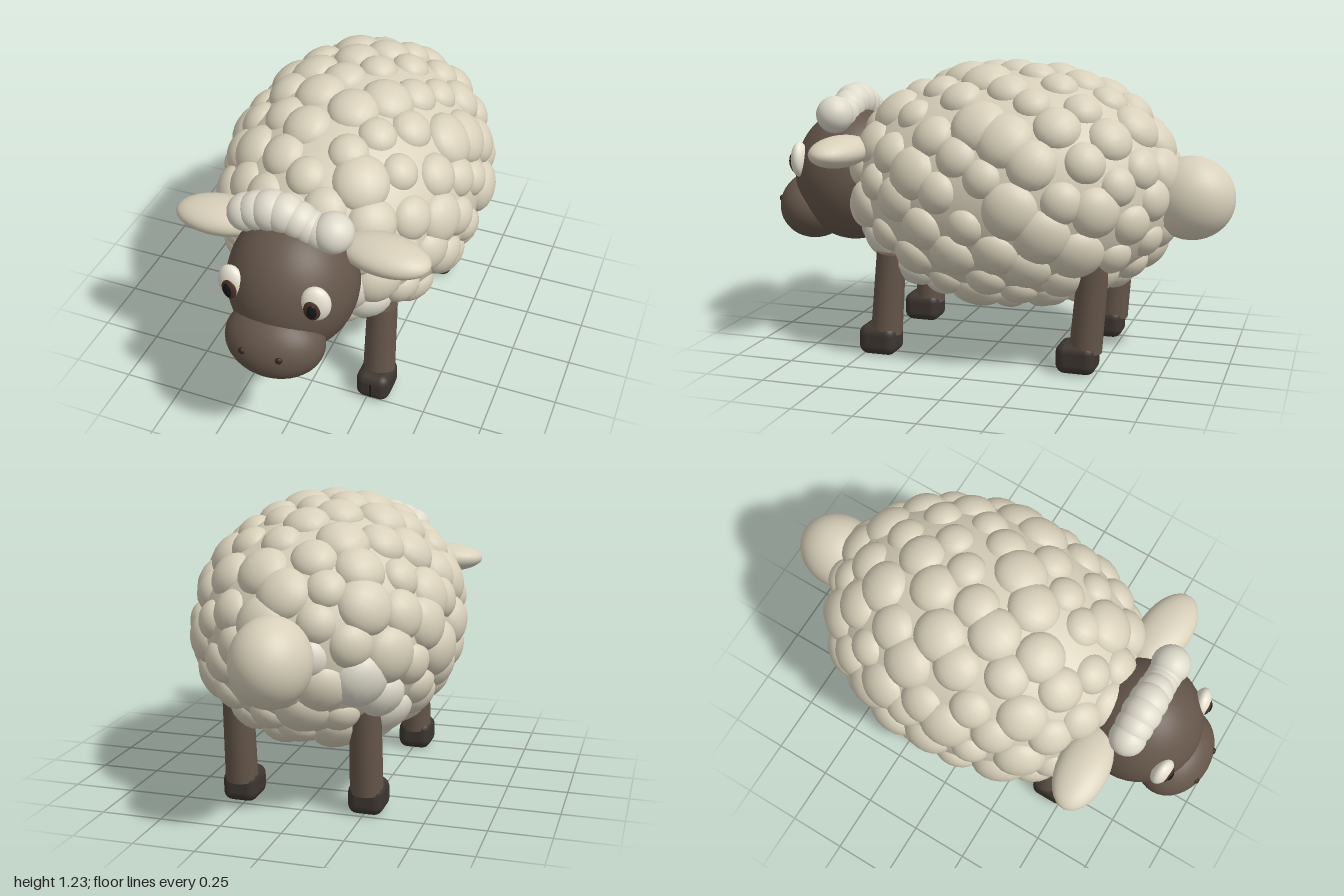
import * as THREE from 'three';
import { mergeGeometries } from 'three/addons/utils/BufferGeometryUtils.js';
import { RoundedBoxGeometry } from 'three/addons/geometries/RoundedBoxGeometry.js';

const paint = (color) => new THREE.MeshStandardMaterial({ color });
const mats = {
  wool: paint(0xd8d0ba),
  paleWool: paint(0xdedacb),
  skin: paint(0x65564a),
  hoof: paint(0x3d3630),
  white: paint(0xe8e4d4),
  iris: paint(0x4a3222),
  dark: paint(0x161616),
  nostril: paint(0x33291f),
};

function add(parent, name, geometry, material, pos = [0, 0, 0], rot = [0, 0, 0]) {
  const mesh = new THREE.Mesh(geometry, material);
  mesh.name = name;
  mesh.position.set(...pos);
  mesh.rotation.set(...rot);
  parent.add(mesh);
  return mesh;
}

function ellipsoid(rx, ry, rz, detail = 32) {
  return new THREE.SphereGeometry(1, detail, Math.round(detail * 0.7)).scale(rx, ry, rz);
}

// Slightly blunt-ended barrel: maps a unit direction onto the body surface.
const half = new THREE.Vector3(0.492, 0.458, 0.655);
function onBody(d) {
  const p = 2.15;
  const k = (Math.hypot(d.x, d.y) ** p + Math.abs(d.z) ** p) ** (-1 / p);
  return d.multiplyScalar(k).multiply(half);
}

function seeded(seed) {
  return () => (seed = (seed * 16807) % 2147483647) / 2147483647;
}

// Fleece: a smooth core covered with scattered, shallow tufts of mixed size.
function buildFleece() {
  const fleece = new THREE.Group();
  fleece.name = 'fleece';
  fleece.position.set(0, 0.708, -0.07);

  const core = new THREE.SphereGeometry(1, 40, 28);
  const pos = core.attributes.position;
  const v = new THREE.Vector3();
  for (let i = 0; i < pos.count; i++) {
    onBody(v.fromBufferAttribute(pos, i)).multiplyScalar(1.05);
    pos.setXYZ(i, v.x, v.y, v.z);
  }
  core.computeVertexNormals();
  add(fleece, 'bodyCore', core, mats.wool);

  const random = seeded(4711);
  const zAxis = new THREE.Vector3(0, 0, 1);
  const balls = [];
  const paleBalls = [];
  const count = 150;
  for (let i = 0; i < count; i++) {
    const z = 1 - (2 * (i + 0.5)) / count;
    const ring = Math.sqrt(1 - z * z);
    const a = i * Math.PI * (3 - Math.sqrt(5)) + (random() - 0.5) * 0.15;
    const c = onBody(new THREE.Vector3(ring * Math.cos(a), ring * Math.sin(a), z));
    const normal = c.clone().divide(half).divide(half).normalize();
    const r = 0.078 + 0.04 * random();
    const ball = ellipsoid(r, r, 0.03 + 0.4 * r, 18)
      .applyQuaternion(new THREE.Quaternion().setFromUnitVectors(zAxis, normal))
      .translate(c.x, c.y, c.z);
    (i % 13 === 5 ? paleBalls : balls).push(ball);
  }
  add(fleece, 'woolBalls', mergeGeometries(balls), mats.wool);
  add(fleece, 'paleWoolBalls', mergeGeometries(paleBalls), mats.paleWool);
  return fleece;
}

function buildHead() {
  const head = new THREE.Group();
  head.name = 'head';
  add(head, 'skull', ellipsoid(0.256, 0.29, 0.26, 40), mats.skin, [0, 0.716, 0.66]);
  add(head, 'muzzle', ellipsoid(0.198, 0.15, 0.152, 36), mats.skin, [0, 0.57, 0.848]);

  for (const s of [-1, 1]) {
    add(head, 'nostril', ellipsoid(0.014, 0.014, 0.01, 14), mats.nostril,
      [s * 0.075, 0.6, 0.984], [0, s * 0.3, 0]);

    // Eye: white, iris and pupil nested and turned outward
    const eye = new THREE.Group();
    eye.name = s > 0 ? 'leftEye' : 'rightEye';
    eye.position.set(s * 0.168, 0.795, 0.845);
    eye.rotation.y = s * 0.2;
    add(eye, 'eyeWhite', ellipsoid(0.058, 0.076, 0.036, 24), mats.white);
    add(eye, 'iris', ellipsoid(0.033, 0.046, 0.016, 20), mats.iris, [-s * 0.008, -0.01, 0.027]);
    add(eye, 'pupil', ellipsoid(0.02, 0.032, 0.01, 18), mats.dark, [-s * 0.008, -0.01, 0.037]);
    head.add(eye);

    add(head, s > 0 ? 'leftEar' : 'rightEar', ellipsoid(0.185, 0.065, 0.105), mats.wool,
      [s * 0.335, 0.866, 0.575], [0, -s * 0.1, 0]);
  }

  // Row of wool curls across the forehead: x, y, radius
  const tuft = new THREE.Group();
  tuft.name = 'foreheadTuft';
  const curls = [
    [-0.178, 0.995, 0.074], [-0.13, 1.015, 0.076], [-0.075, 1.03, 0.08], [-0.02, 1.03, 0.078],
    [0.035, 1.012, 0.074], [0.08, 0.992, 0.07], [0.12, 0.985, 0.07], [0.17, 0.995, 0.079],
  ];
  for (const [x, y, r] of curls) {
    add(tuft, 'curl', new THREE.SphereGeometry(r, 22, 16), mats.paleWool, [x, y, 0.672]);
  }
  head.add(tuft);
  return head;
}

// Leg leaning slightly back toward the top, on a cleft hoof.
function buildLeg(name, x, z, height, shankZ) {
  const leg = new THREE.Group();
  leg.name = name;
  leg.position.set(x, 0, z);
  add(leg, 'shank', new THREE.CylinderGeometry(0.062, 0.067, height, 24), mats.skin,
    [0, 0.09 + height / 2, shankZ], [-0.08, 0, 0]);
  add(leg, 'hoof', new RoundedBoxGeometry(0.145, 0.127, 0.165, 4, 0.04), mats.hoof, [0, 0.0635, 0.005]);
  add(leg, 'hoofCleft', new THREE.BoxGeometry(0.006, 0.07, 0.01), mats.dark, [0, 0.06, 0.084]);
  return leg;
}

export function createModel() {
  const sheep = new THREE.Group();
  sheep.name = 'sheep';
  sheep.add(buildFleece());

  // Head, tail and legs share a centre line just off the fleece's own
  const frame = new THREE.Group();
  frame.name = 'headTailAndLegs';
  frame.position.x = 0.008;
  frame.add(buildHead());
  add(frame, 'tail', ellipsoid(0.155, 0.172, 0.18), mats.wool, [0, 0.69, -0.82]);
  for (const s of [-1, 1]) {
    const side = s > 0 ? 'Left' : 'Right';
    frame.add(buildLeg('front' + side + 'Leg', s * 0.264, 0.433, 0.35, -0.034));
    frame.add(buildLeg('back' + side + 'Leg', s * 0.264, -0.424, 0.39, -0.043));
  }
  sheep.add(frame);
  return sheep;
}
